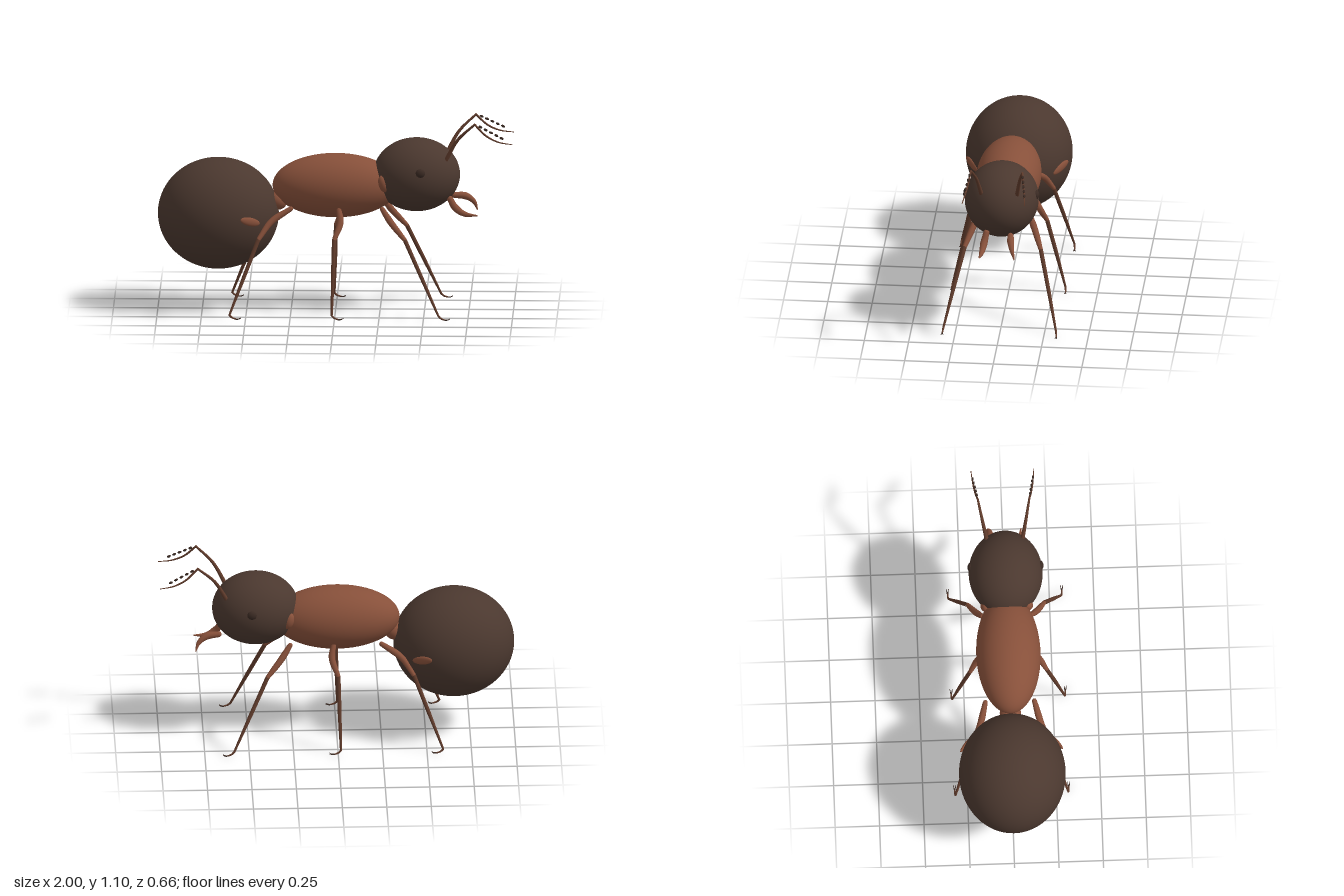
import * as THREE from 'three';

const mat = (name, color) => {
  const m = new THREE.MeshStandardMaterial({ color });
  m.name = name;
  return m;
};

export function createModel() {
  const ant = new THREE.Group();
  ant.name = 'ant';
  const brown = mat('russet brown', 0x87503a);
  const dark = mat('dark brown', 0x4b382f);
  const limb = mat('limb brown', 0x613c2c);
  const eyeMat = mat('eye brown', 0x3a2a23);

  const ellipsoid = (parent, name, material, pos, radii, segs = 48, rotZ = 0) => {
    const geo = new THREE.SphereGeometry(1, segs, Math.round(segs * 0.67));
    geo.scale(...radii);
    const mesh = new THREE.Mesh(geo, material);
    mesh.name = name;
    mesh.position.set(...pos);
    mesh.rotation.z = rotZ;
    parent.add(mesh);
    return mesh;
  };

  // Round tube along points; radius follows the listed values, start is rounded off
  const taper = (parent, name, material, points, radii, rows = 16) => {
    const curve = new THREE.CatmullRomCurve3(points.map(p => new THREE.Vector3(...p)));
    const sides = 10;
    const geo = new THREE.TubeGeometry(curve, rows, 1, sides);
    const pos = geo.attributes.position, v = new THREE.Vector3();
    for (let i = 0; i <= rows; i++) {
      const c = curve.getPointAt(i / rows);
      const t = (i / rows) * (radii.length - 1), k = Math.min(Math.floor(t), radii.length - 2);
      const r = THREE.MathUtils.lerp(radii[k], radii[k + 1], t - k);
      for (let j = 0; j <= sides; j++) {
        const n = i * (sides + 1) + j;
        v.fromBufferAttribute(pos, n).sub(c).multiplyScalar(r).add(c);
        pos.setXYZ(n, v.x, v.y, v.z);
      }
    }
    const mesh = new THREE.Mesh(geo, material);
    mesh.name = name;
    parent.add(mesh);
    ellipsoid(parent, name + 'Cap', material, points[0], [radii[0], radii[0], radii[0]], 10);
  };

  // Body
  ellipsoid(ant, 'abdomen', dark, [-0.66, 0.55, 0], [0.34, 0.315, 0.3], 64);
  ellipsoid(ant, 'thorax', brown, [0, 0.712, 0], [0.355, 0.181, 0.181], 64);
  ellipsoid(ant, 'head', dark, [0.455, 0.777, 0], [0.244, 0.208, 0.208], 64);
  ellipsoid(ant, 'waist', brown, [-0.325, 0.625, 0], [0.055, 0.055, 0.06], 24);

  for (const s of [1, -1]) {
    const side = s > 0 ? 'near' : 'far';
    // Eye, neck plate and abdomen mark
    ellipsoid(ant, side + 'Eye', eyeMat, [0.48, 0.82, s * 0.196], [0.028, 0.026, 0.018], 20);
    ellipsoid(ant, side + 'NeckPlate', brown, [0.272, 0.745, s * 0.118], [0.03, 0.05, 0.03], 20, 0.25);
    const mark = ellipsoid(ant, side + 'AbdomenMark', brown, [-0.475, 0.55, s * 0.25], [0.068, 0.024, 0.012], 20, -0.27);
    mark.rotation.y = s * 0.62;

    // Legs: hip, knee, ankle and foot tip in x
    const legs = [['hind', -0.25, -0.43, -0.59], ['middle', 0.02, -0.004, -0.015], ['front', 0.265, 0.395, 0.585]];
    for (const [label, hip, knee, ankle] of legs) {
      const leg = new THREE.Group();
      leg.name = side + label + 'Leg';
      ant.add(leg);
      const bend = label === 'middle' ? 0.01 : label === 'hind' ? -0.11 : 0.05;
      taper(leg, 'femur', brown,
        [[hip, 0.603, s * 0.138], [hip + bend, 0.533, s * 0.172], [knee, 0.44, s * 0.215]],
        [0.014, 0.019, 0.017, 0.012]);
      taper(leg, 'tibia', limb,
        [[knee, 0.44, s * 0.215], [(knee + ankle) / 2, 0.235, s * 0.267], [ankle, 0.028, s * 0.317]],
        [0.012, 0.011, 0.006], 8);
      taper(leg, 'foot', limb,
        [[ankle, 0.028, s * 0.317], [ankle + 0.015, 0.014, s * 0.32], [ankle + 0.038, 0.006, s * 0.321]],
        [0.006, 0.004], 6);
      for (const c of [-1, 1]) {
        taper(leg, 'claw', eyeMat,
          [[ankle + 0.036, 0.006, s * 0.321], [ankle + 0.05, 0.006, s * 0.321 + c * 0.004],
            [ankle + 0.066, 0.013, s * 0.321 + c * 0.007]],
          [0.004, 0.001], 5);
      }
    }

    // Antenna: scape, thin curved tip and a row of beads
    const antenna = new THREE.Group();
    antenna.name = side + 'Antenna';
    ant.add(antenna);
    taper(antenna, 'scape', limb,
      [[0.62, 0.875, s * 0.1], [0.69, 1.0, s * 0.122], [0.785, 1.093, s * 0.145]],
      [0.012, 0.009, 0.006]);
    taper(antenna, 'whip', limb,
      [[0.785, 1.093, s * 0.145], [0.85, 1.03, s * 0.158], [0.92, 0.997, s * 0.169], [0.998, 0.985, s * 0.177]],
      [0.006, 0.005, 0.002]);
    for (let i = 0; i < 5; i++) {
      ellipsoid(antenna, 'bead', eyeMat,
        [0.817 + i * 0.03, 1.08 - i * 0.015, s * (0.15 + i * 0.005)], [0.012, 0.007, 0.007], 10, -0.45);
    }
  }

  // Mandibles: one bows downward, the other upward
  taper(ant, 'nearMandible', brown,
    [[0.645, 0.65, 0.07], [0.672, 0.605, 0.08], [0.725, 0.568, 0.088], [0.8, 0.56, 0.098]],
    [0.017, 0.021, 0.014, 0.003], 20);
  taper(ant, 'farMandible', brown,
    [[0.665, 0.645, -0.068], [0.73, 0.638, -0.075], [0.775, 0.605, -0.085], [0.795, 0.555, -0.1]],
    [0.017, 0.021, 0.014, 0.003], 20);

  return ant;
}
